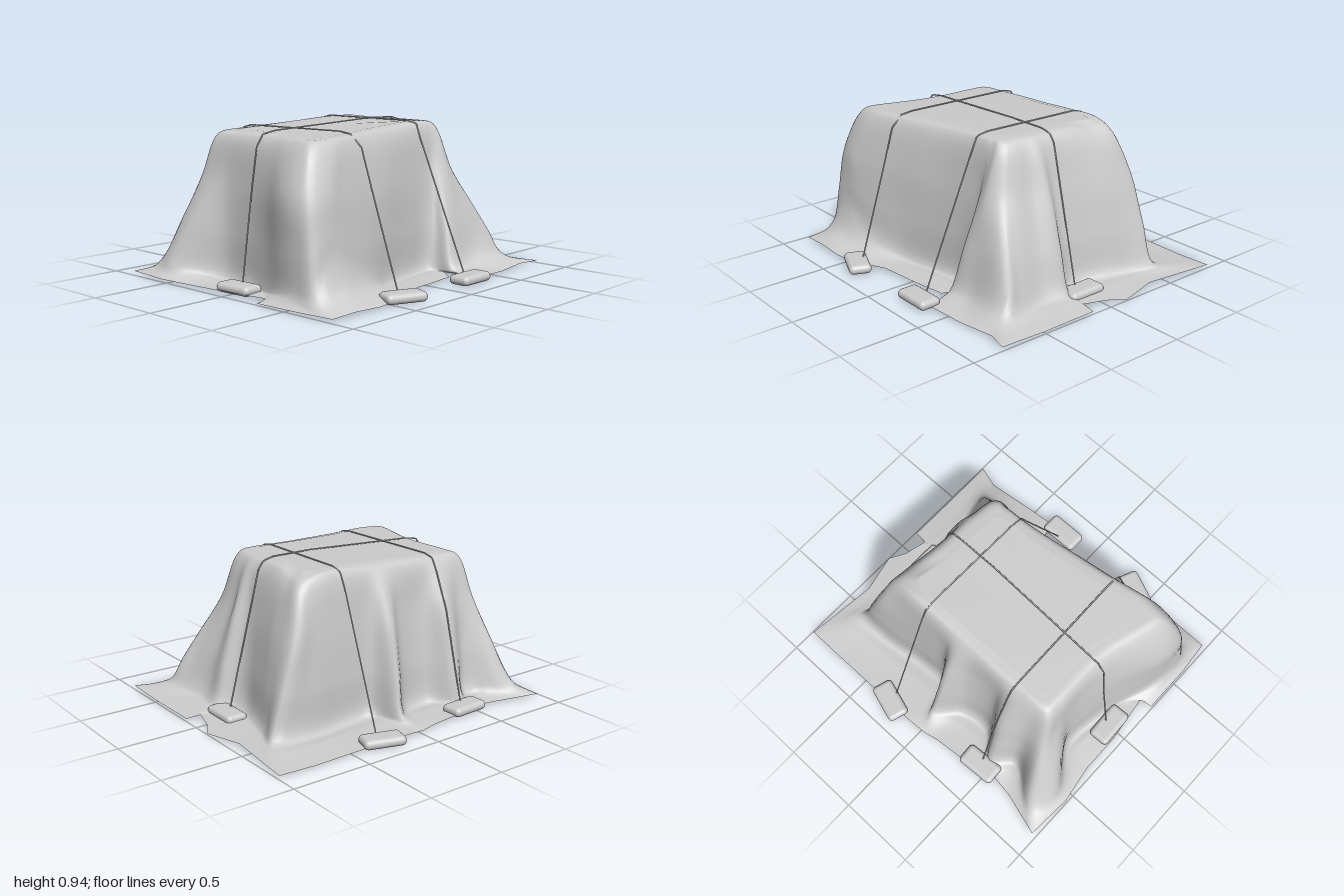
import * as THREE from 'three';
import { RoundedBoxGeometry } from 'three/addons/geometries/RoundedBoxGeometry.js';

// Plan of the cover as loops of points, running front left, right, back, left.
// Shoulder and wall and hem are x,z pairs; foot is x,y,z so folds can lift.
const SHOULDER = [
  -.77, .48, -.64, .51, -.5, .49, -.35, .46, -.15, .43, .05, .4, .22, .38, .34, .375, .39, .37, .43, .37,
  .46, .34, .47, .3, .48, .22, .49, .15, .49, .09, .49, 0, .5, -.15, .53, -.29, .54, -.4,
  .42, -.425, .22, -.425, .08, -.425, -.02, -.425, -.14, -.425, -.32, -.425, -.45, -.42, -.58, -.42, -.66, -.4,
  -.67, -.32, -.67, -.2, -.67, -.05, -.69, .12, -.74, .3, -.77, .41];
const WALL = [
  -.88, .57, -.76, .61, -.62, .59, -.4, .55, -.17, .51, .05, .46, .24, .43, .34, .43, .38, .46, .45, .48,
  .54, .44, .57, .36, .58, .24, .62, .15, .58, .08, .58, 0, .61, -.17, .64, -.32, .63, -.5,
  .48, -.49, .25, -.475, .09, -.48, 0, -.56, -.12, -.49, -.32, -.475, -.44, -.56, -.59, -.5, -.72, -.49,
  -.73, -.38, -.71, -.25, -.73, -.05, -.79, .15, -.89, .36, -.91, .48];
const FOOT = [
  -.93, .1, .65, -.77, .26, .65, -.58, .16, .65, -.4, .09, .62, -.22, .04, .56, .03, .03, .5, .24, .03, .48,
  .29, .03, .53, .31, .05, .63, .5, .08, .62, .76, .21, .58, .79, .1, .5, .77, .06, .32, .79, .05, .14,
  .72, .04, .08, .69, .04, -.03, .73, .04, -.2, .78, .04, -.38, .82, .06, -.54,
  .6, .04, -.56, .28, .03, -.52, .1, .04, -.53, .03, .07, -.71, -.12, .04, -.58, -.32, .03, -.56, -.46, .07, -.69,
  -.6, .04, -.59, -.82, .13, -.71, -.92, .11, -.56, -.76, .04, -.28, -.78, .03, -.04, -.82, .03, .15,
  -.9, .06, .36, -.93, .1, .52];
const HEM = [
  -.97, .83, -.8, .83, -.6, .83, -.45, .81, -.23, .72, .02, .69, .25, .65, .3, .58, .35, .81, .6, .79,
  .85, .76, .99, .8, .99, .5, .99, .13, .9, .12, .94, -.03, 1, -.13, .94, -.38, .99, -.85,
  .75, -.85, .35, -.85, .1, -.85, -.03, -.84, -.12, -.82, -.35, -.8, -.56, -.75, -.7, -.77, -.97, -.85,
  -.99, -.56, -.95, -.3, -.95, -.05, -.91, .27, -.99, .28, -.99, .6];

const V = (x, y, z) => new THREE.Vector3(x, y, z);
const topY = x => 0.925 + 0.035 * Math.min(x, 0.3);

// Turn x,z pairs into points at a height given by a rule
function loop(pairs, height) {
  const points = [];
  for (let i = 0; i < pairs.length; i += 2) points.push(V(pairs[i], height(pairs[i], pairs[i + 1], i / 2), pairs[i + 1]));
  return points;
}

// Draped cover: smooth curves from the crown down to the hem, then around
function coverGeometry() {
  // The back left corner of the crown sags a little
  const shoulder = loop(SHOULDER, (x, z) => topY(x) - (x > 0.5 && z < -0.2 ? 0.055 : 0.022));
  const inner = shoulder.map(p => V(p.x * 0.82 - 0.018, topY(p.x), p.z * 0.82));
  const wall = loop(WALL, () => 0.62);
  const foot = [];
  for (let i = 0; i < FOOT.length; i += 3) foot.push(V(FOOT[i], FOOT[i + 1], FOOT[i + 2]));
  const hem = loop(HEM, (x, z, i) => 0.014 + 0.006 * Math.sin(i * 1.9));
  const shin = wall.map((p, i) => p.clone().lerp(foot[i], 0.55));
  const toe = foot.map((p, i) => p.clone().lerp(hem[i], 0.35).setY(0.012 + 0.35 * p.y));
  const rings = [inner, shoulder, wall, shin, foot, toe]
    .map(r => new THREE.CatmullRomCurve3(r, true, 'centripetal'));
  const steps = 5, cols = shoulder.length * steps, rows = 43;
  const positions = [-0.1, topY(-0.1), 0], index = [];
  for (let j = 0; j < cols; j++) {
    const k = Math.floor(j / steps);
    const edge = hem[k].clone().lerp(hem[(k + 1) % hem.length], (j % steps) / steps);
    const points = [...rings.map(r => r.getPoint(j / cols)), edge];
    const drop = new THREE.CatmullRomCurve3(points, false, 'centripetal');
    for (let i = 0; i < rows; i++) {
      const p = drop.getPoint(i / (rows - 1));
      positions.push(p.x, Math.max(p.y, 0.006), p.z);
    }
  }
  const at = (i, j) => 1 + (j % cols) * rows + i;
  for (let j = 0; j < cols; j++) {
    index.push(0, at(0, j), at(0, j + 1));
    for (let i = 0; i < rows - 1; i++) {
      index.push(at(i, j), at(i + 1, j), at(i, j + 1));
      index.push(at(i + 1, j), at(i + 1, j + 1), at(i, j + 1));
    }
  }
  const geometry = new THREE.BufferGeometry();
  geometry.setAttribute('position', new THREE.Float32BufferAttribute(positions, 3));
  geometry.setIndex(index);
  geometry.computeVertexNormals();
  return geometry;
}

// Taut rope: straight runs between bends
function ropeGeometry(points) {
  const path = new THREE.CurvePath();
  for (let i = 1; i < points.length; i++) path.add(new THREE.LineCurve3(points[i - 1], points[i]));
  return new THREE.TubeGeometry(path, 160, 0.0045, 6);
}

export function createModel() {
  const group = new THREE.Group();
  const grey = new THREE.MeshStandardMaterial({ color: 0xcccccc, side: THREE.DoubleSide });
  grey.name = 'light grey';

  const add = (name, geometry) => {
    const mesh = new THREE.Mesh(geometry, grey);
    mesh.name = name;
    group.add(mesh);
    return mesh;
  };

  add('cover', coverGeometry());

  // Ropes pulled over the cover and tied down to the weights
  const ropes = {
    ropeRight: [V(-.39, .05, .78), V(-.4, .62, .59), V(-.405, .84, .52), V(-.41, .91, .44), V(-.41, .92, .36),
      V(-.42, .917, -.37), V(-.42, .9, -.44), V(-.42, .84, -.475), V(-.425, .6, -.575), V(-.43, .05, -.72)],
    ropeLeft: [V(.25, .05, .76), V(.25, .84, .415), V(.255, .925, .38), V(.26, .94, .3),
      V(.27, .94, -.36), V(.27, .92, -.43), V(.27, .84, -.47), V(.28, .05, -.78)],
    ropeAcross: [V(-.84, .05, 0), V(-.76, .6, 0), V(-.73, .83, .01), V(-.68, .9, .01), V(-.58, .915, .01),
      V(.15, .943, .03), V(.42, .942, .03), V(.49, .925, .03), V(.525, .88, .03), V(.74, .05, .04)],
  };
  for (const [name, points] of Object.entries(ropes)) add(name, ropeGeometry(points));

  // Weights holding the ropes: x, z, turn
  const weight = new RoundedBoxGeometry(0.255, 0.058, 0.138, 4, 0.028);
  const places = [
    [-.39, .82, -.4], [.245, .81, 0], [-.435, -.75, .06],
    [.28, -.84, -.3], [-.87, 0, Math.PI / 2 + .04], [.775, .02, Math.PI / 2]];
  places.forEach(([x, z, turn], i) => {
    const mesh = add('weight' + (i + 1), weight);
    mesh.position.set(x, 0.031, z);
    mesh.rotation.y = turn;
  });
  return group;
}
